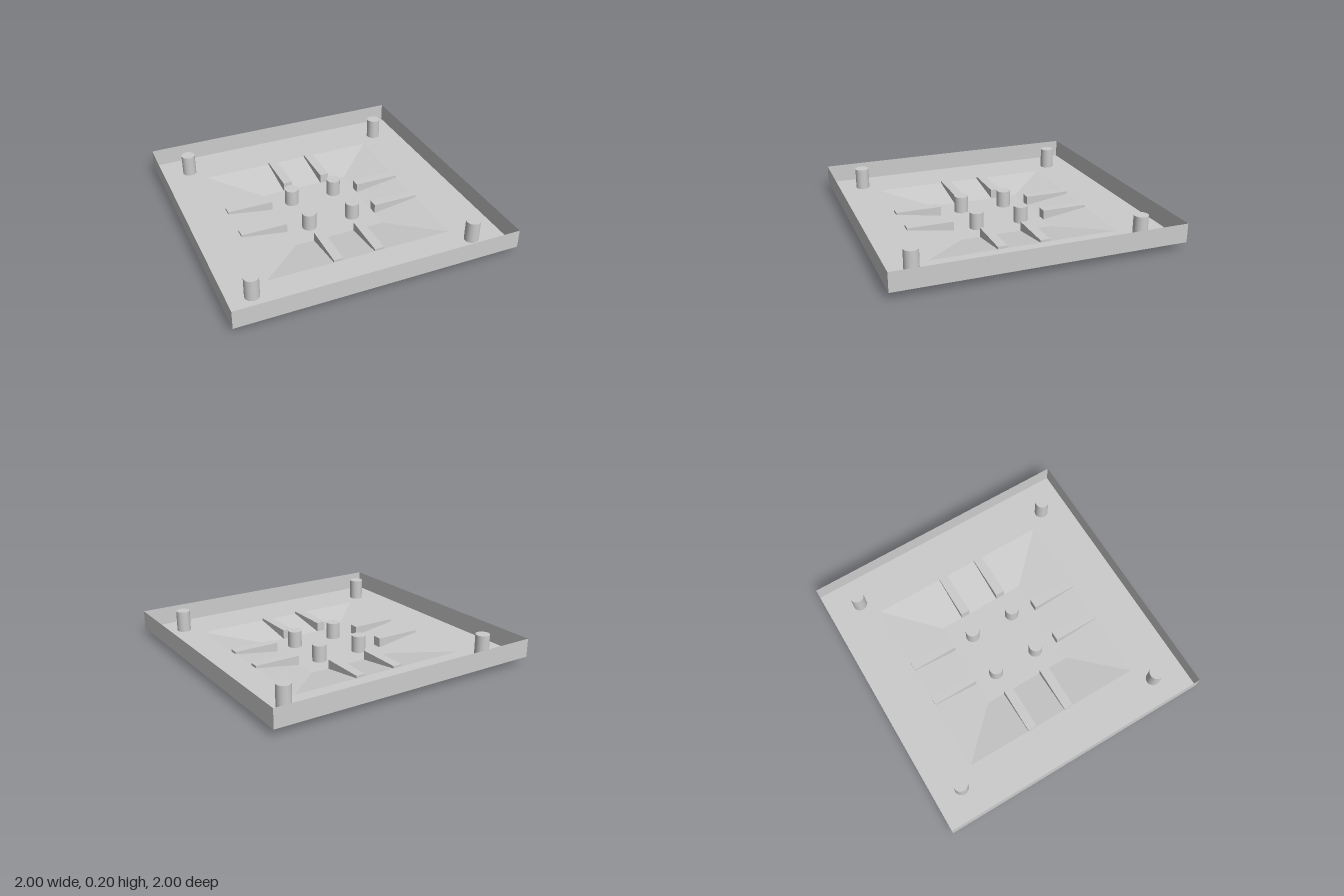
import * as THREE from 'three';

const FLOOR = 0.05, RIM = 0.183, PIN_TOP = 0.202, POST_TOP = 0.12, RIB_TOP = 0.067;
const OUTER = 0.667, INNER = 0.333;

export function createModel() {
  const model = new THREE.Group();
  const grey = new THREE.MeshStandardMaterial({ color: 0xcccccc });
  const sheet = new THREE.MeshStandardMaterial({ color: 0xcccccc, flatShading: true, side: THREE.DoubleSide });

  const add = (name, geometry, material = grey) => {
    const mesh = new THREE.Mesh(geometry, material);
    mesh.name = name;
    model.add(mesh);
    return mesh;
  };

  // Thin square tray: centre, sunken slopes, flat border, upright walls
  const profile = [[0, 0], [INNER, 0], [OUTER, FLOOR], [1, FLOOR], [1, RIM]]
    .map(([half, y]) => new THREE.Vector2(half * Math.SQRT2, y));
  const tray = new THREE.LatheGeometry(profile, 4, Math.PI / 4).toNonIndexed();
  tray.computeVertexNormals();
  add('tray', tray, sheet);

  // Round pins standing on the floor
  const pin = (name, x, z, bottom, top) => {
    const mesh = add(name, new THREE.CylinderGeometry(0.05, 0.05, top - bottom, 32));
    mesh.position.set(x, (top + bottom) / 2, z);
  };
  for (const x of [-0.167, 0.167])
    for (const z of [-0.167, 0.167]) pin('centrePost', x, z, 0, POST_TOP);
  // Corner pins follow a quarter-turn pattern
  for (const [x, z] of [[-0.767, -0.8], [0.8, -0.767], [0.767, 0.8], [-0.8, 0.767]])
    pin('cornerPin', x, z, FLOOR, PIN_TOP);

  // Straight ribs cut through each slope, two per side, turned around the centre
  for (let i = 0; i < 4; i++) {
    const side = new THREE.Group();
    side.name = 'ribPair';
    side.rotation.y = i * Math.PI / 2;
    for (const x of [-0.167, 0.133]) {
      const rib = new THREE.Mesh(new THREE.BoxGeometry(0.067, RIB_TOP, OUTER - INNER), grey);
      rib.name = 'rib';
      rib.position.set(x, RIB_TOP / 2, (OUTER + INNER) / 2);
      side.add(rib);
    }
    model.add(side);
  }
  return model;
}
